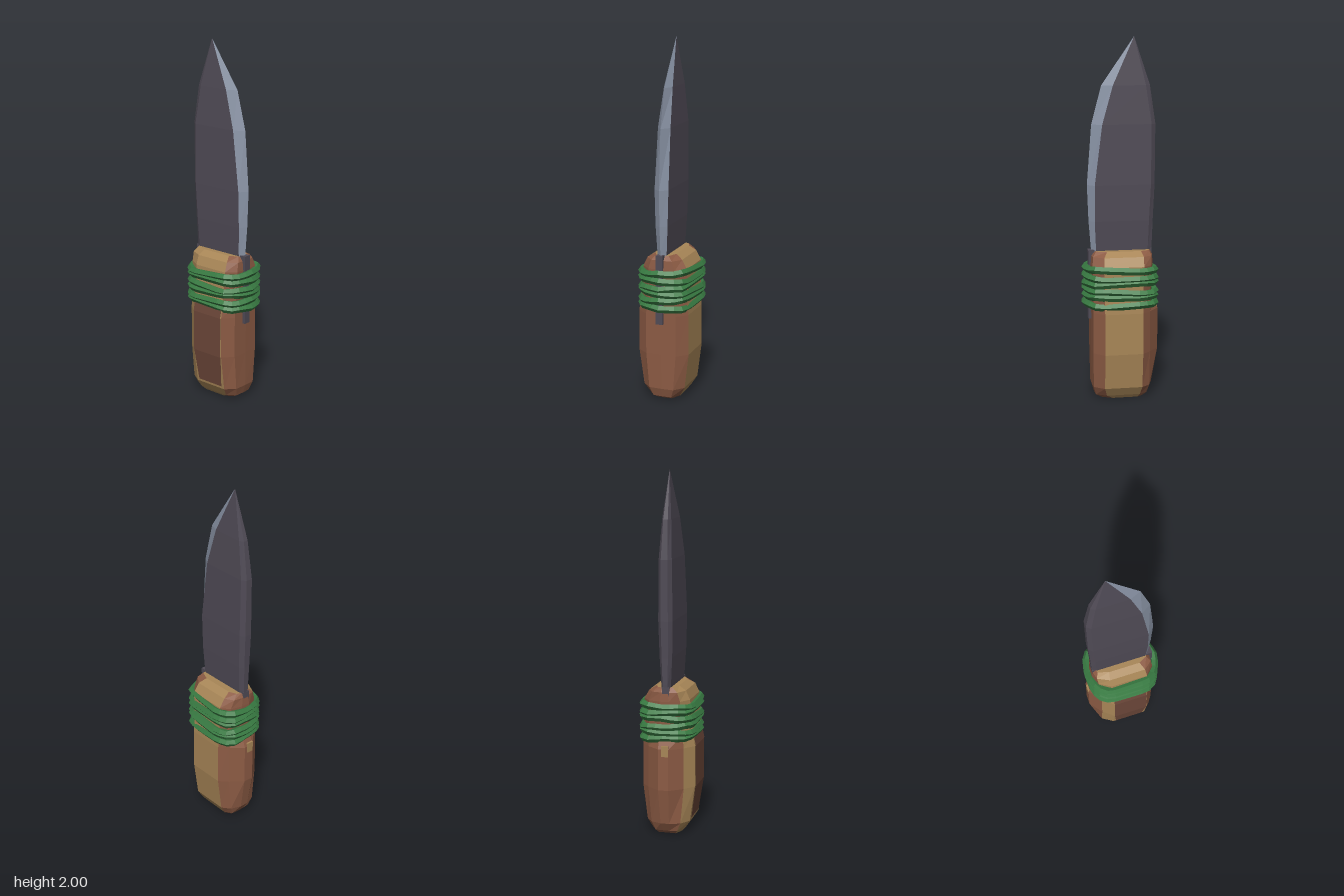
import * as THREE from 'three';

const mat = (name, color) => {
  const m = new THREE.MeshStandardMaterial({ color });
  m.name = name;
  return m;
};

// Faceted skin over rings of [x, y, z]; slot(side, level) picks the material index.
// Rings run from +x over +z to -x and -z, from bottom to top.
function loft(rings, slot, caps) {
  const buckets = [[], []];
  const n = rings[0].length;
  const tri = (s, ...pts) => pts.forEach(p => buckets[s].push(...p));
  for (let l = 0; l < rings.length - 1; l++) {
    for (let i = 0; i < n; i++) {
      const j = (i + 1) % n, lo = rings[l], hi = rings[l + 1], s = slot(i, l);
      tri(s, lo[j], lo[i], hi[i]);
      tri(s, lo[j], hi[i], hi[j]);
    }
  }
  const bottom = rings[0], top = rings[rings.length - 1];
  for (let i = 1; i < n - 1; i++) {
    tri(caps[0], bottom[0], bottom[i], bottom[i + 1]);
    tri(caps[1], top[0], top[i + 1], top[i]);
  }
  const geo = new THREE.BufferGeometry();
  geo.setAttribute('position', new THREE.Float32BufferAttribute(buckets.flat(), 3));
  geo.addGroup(0, buckets[0].length / 3, 0);
  geo.addGroup(buckets[0].length / 3, buckets[1].length / 3, 1);
  geo.computeVertexNormals();
  return geo;
}

export function createModel() {
  const model = new THREE.Group();
  const wood = mat('brown wood', 0x8c5b44);
  const cutWood = mat('tan wood', 0xa88657);
  const darkWood = mat('dark wood', 0x6c4739);
  const steel = mat('dark steel', 0x504b56);
  const edge = mat('sharpened steel', 0x8a94a6);
  const cord = mat('green cord', 0x387a42);
  const add = (name, geo, material) => {
    const mesh = new THREE.Mesh(geo, material);
    mesh.name = name;
    model.add(mesh);
    return mesh;
  };

  // Handle: chamfered block bulging toward the spine side
  // y, left x, right x, front z, back z, width of the flats
  const handleRings = [
    [0, -0.12, 0.11, 0.07, -0.07, 0.8],
    [0.02, -0.145, 0.145, 0.09, -0.085, 0.92],
    [0.07, -0.175, 0.16, 0.122, -0.115, 1],
    [0.27, -0.21, 0.162, 0.15, -0.14, 1],
    [0.5, -0.21, 0.162, 0.15, -0.138, 1],
    [0.57, -0.182, 0.162, 0.138, -0.132, 1],
    [0.76, -0.182, 0.165, 0.122, -0.13, 1.05],
    [0.81, -0.178, 0.16, 0.1, -0.1, 1.08],
    [0.835, -0.165, 0.14, 0.06, -0.06, 1],
  ].map(([y, xl, xr, zf, zb, s]) => [
    [xr, 0], [xr - 0.003, 0.6 * zf], [xr - 0.05, zf], [-0.09 * s, zf], [-0.152 * s, 0.68 * zf],
    [xl, 0.2 * zf], [xl, 0.2 * zb], [-0.155 * s, 0.7 * zb], [-0.11 * s, zb],
    [xr - 0.06, zb], [xr - 0.003, 0.6 * zb],
  ].map(([x, z]) => [Math.max(x, xl), y, z]));
  const tanSides = [2, 3, 8];
  add('handle', loft(handleRings, i => (tanSides.includes(i) ? 1 : 0), [0, 1]), [wood, cutWood]);

  // Darker inlay following the front of the handle
  const inlay = new THREE.BufferGeometry();
  const levels = [[0.085, 0.125], [0.27, 0.1525], [0.5, 0.1525], [0.57, 0.1405]];
  const corners = [];
  levels.slice(1).forEach(([y1, z1], k) => {
    const [y0, z0] = levels[k];
    const w = k === 0 ? 0.015 : 0;
    const a = [-0.088 + w, y0, z0 + 0.002], b = [0.108 - w, y0, z0 + 0.002];
    const c = [0.11, y1, z1], d = [-0.088, y1, z1];
    corners.push(...a, ...b, ...c, ...a, ...c, ...d);
  });
  inlay.setAttribute('position', new THREE.Float32BufferAttribute(corners, 3));
  inlay.computeVertexNormals();
  add('frontInlay', inlay, darkWood);

  // Small pale chip on the spine side
  add('handleChip', new THREE.BoxGeometry(0.02, 0.06, 0.04), cutWood).position.set(-0.202, 0.49, 0.01);

  // Blade: y, spine x, bevel x, edge x, half thickness
  const bladeRings = [
    [0.78, -0.175, 0.135, 0.155, 0.022],
    [0.85, -0.178, 0.135, 0.16, 0.027],
    [1.0, -0.183, 0.142, 0.172, 0.035],
    [1.2, -0.192, 0.142, 0.18, 0.04],
    [1.53, -0.195, 0.1, 0.155, 0.036],
    [1.74, -0.165, 0.04, 0.1, 0.025],
    [2.0, -0.08, -0.08, -0.08, 0],
  ].map(([y, xs, xb, xe, t]) => {
    const c = y === 2 ? 0 : 0.024;
    return [
      [xe, 0], [xb, t], [xs + c, t], [xs, 0.5 * t], [xs, -0.5 * t], [xs + c, -t], [xb, -t],
    ].map(([x, z]) => [x, y, z + 0.004]);
  });
  add('blade', loft(bladeRings, i => (i === 0 || i === 6 ? 1 : 0), [0, 0]), [steel, edge]);

  // Tang showing along the cutting side of the handle
  add('tang', new THREE.BoxGeometry(0.355, 0.39, 0.04), steel).position.set(-0.001, 0.645, 0.006);

  // Cord: slightly tilted, wavy loops bound around handle and tang
  const outline = [
    [0.193, 0], [0.18, 0.065], [0.148, 0.115], [0.1, 0.134], [-0.1, 0.134], [-0.148, 0.108],
    [-0.177, 0.06], [-0.184, 0], [-0.185, -0.075], [-0.172, -0.115], [-0.1, -0.139],
    [0.09, -0.124], [0.15, -0.108], [0.178, -0.06],
  ];
  const wrap = new THREE.Group();
  wrap.name = 'cordWrap';
  for (let k = 0; k < 6; k++) {
    const tilt = (k % 2 ? -1 : 1) * 0.05;
    const pts = outline.map(([x, z], i) => new THREE.Vector3(
      x, 0.551 + k * 0.037 + tilt * z + 0.004 * Math.sin(i * 2.1 + k * 1.7) + 0.03 * x * (k % 3 - 1), z));
    const path = new THREE.CatmullRomCurve3(pts, true, 'catmullrom', 0.2);
    const geo = new THREE.TubeGeometry(path, 28, 0.021, 5, true).toNonIndexed();
    geo.computeVertexNormals();
    const loop = new THREE.Mesh(geo, cord);
    loop.name = 'cordLoop';
    wrap.add(loop);
  }
  model.add(wrap);
  return model;
}
